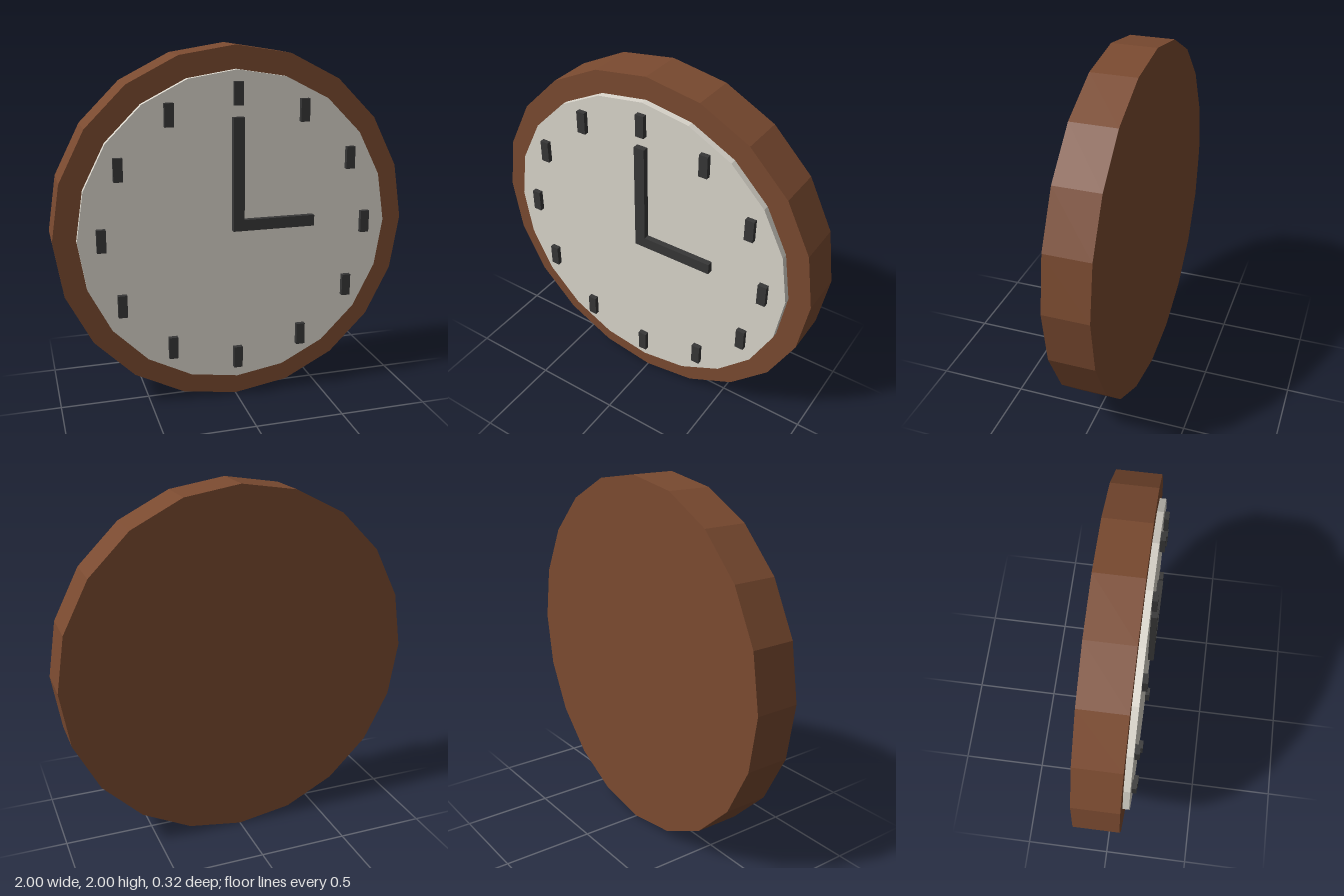
import * as THREE from 'three';

const material = (name, color) => {
  const m = new THREE.MeshStandardMaterial({ color });
  m.name = name;
  m.flatShading = true;
  return m;
};

export function createModel() {
  const clock = new THREE.Group();
  clock.name = 'wallClock';
  const wood = material('brown wood', 0x7a4a30);
  const cream = material('pale dial', 0xdad6cc);
  const dark = material('dark grey', 0x373737);

  const add = (name, geometry, mat, x, y, z) => {
    const mesh = new THREE.Mesh(geometry, mat);
    mesh.name = name;
    mesh.position.set(x, y, z);
    clock.add(mesh);
  };

  // 20-sided disc lying between two depths, a corner at the top
  const disc = (name, radius, back, front, mat) => {
    const g = new THREE.CylinderGeometry(radius, radius, front - back, 20);
    g.rotateX(Math.PI / 2);
    add(name, g, mat, 0, 1, (back + front) / 2);
  };

  // Upright block on the dial, given by its edges
  const dialFront = 0.125;
  const block = (name, x0, x1, y0, y1, front) => add(
    name, new THREE.BoxGeometry(x1 - x0, y1 - y0, front - dialFront), dark,
    (x0 + x1) / 2, (y0 + y1) / 2, (dialFront + front) / 2);

  // Wooden case and raised dial
  disc('case', 1, -0.158, 0.09, wood);
  disc('dial', 0.875, 0.09, dialFront, cream);

  // Twelve hour marks, all kept upright
  for (let i = 0; i < 12; i++) {
    const a = (i * Math.PI) / 6;
    const x = 0.75 * Math.sin(a);
    const y = 1.002 + 0.75 * Math.cos(a);
    block(`hourMark${i === 0 ? 12 : i}`, x - 0.025, x + 0.025, y - 0.0625, y + 0.0625, 0.152);
  }

  // Hands at three o'clock
  block('minuteHand', -0.031, 0.031, 1.003, 1.627, 0.158);
  block('hourHand', 0.031, 0.4375, 1.003, 1.065, 0.158);

  return clock;
}
